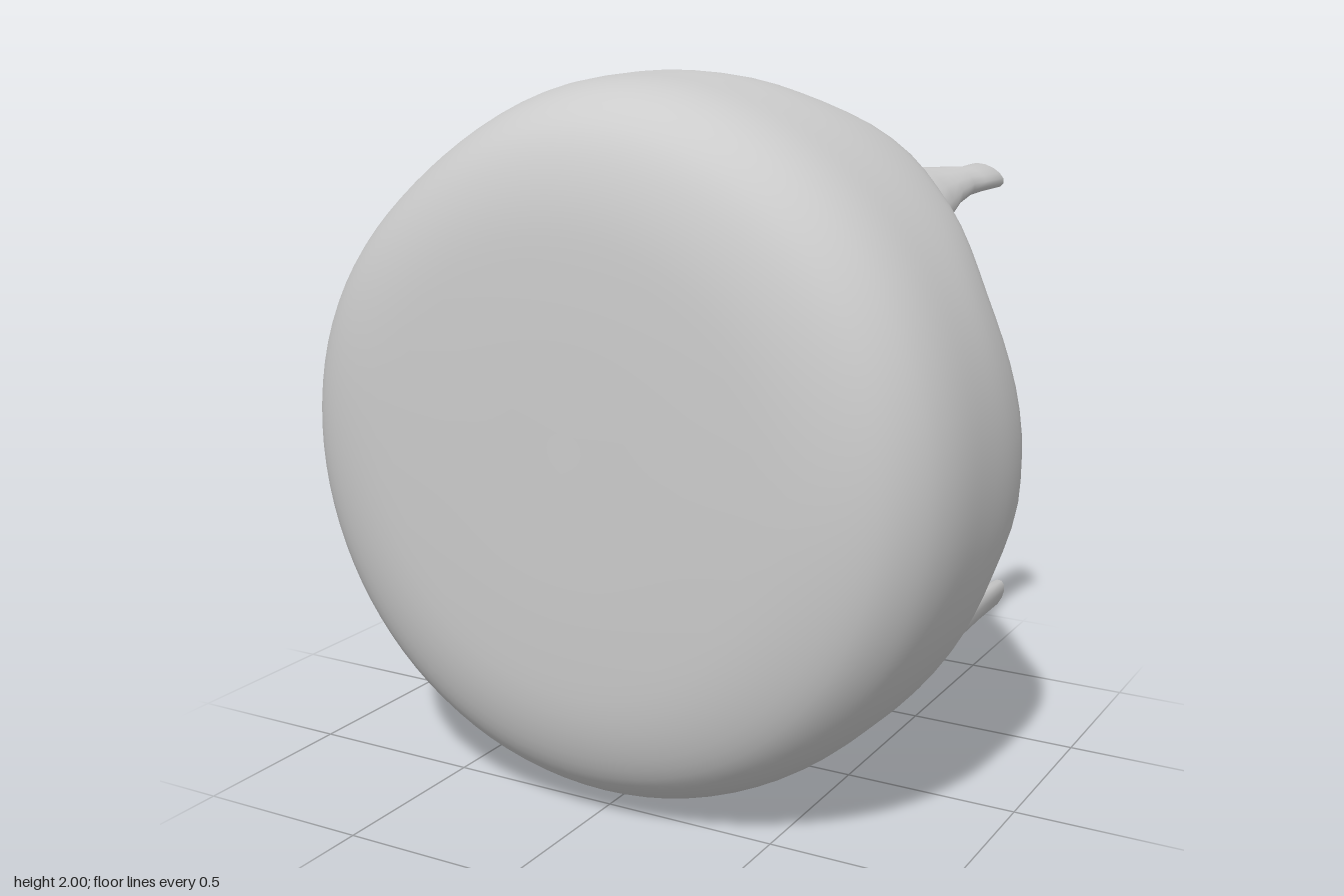
import * as THREE from 'three';

const grey = new THREE.MeshStandardMaterial({ color: 0xcccccc, side: THREE.DoubleSide });
const rad = THREE.MathUtils.degToRad;

// Skin a stack of closed rings; point(row, col) returns [x, y, z]
function skin(name, rows, cols, point) {
  const pos = [], idx = [];
  for (let j = 0; j < rows; j++)
    for (let i = 0; i < cols; i++) pos.push(...point(j, i));
  for (let j = 0; j < rows - 1; j++)
    for (let i = 0; i < cols; i++) {
      const k = (i + 1) % cols;
      const a = j * cols + i, b = (j + 1) * cols + i, c = (j + 1) * cols + k, d = j * cols + k;
      idx.push(a, b, c, a, c, d);
    }
  const g = new THREE.BufferGeometry();
  g.setAttribute('position', new THREE.Float32BufferAttribute(pos, 3));
  g.setIndex(idx);
  g.computeVertexNormals();
  const mesh = new THREE.Mesh(g, grey);
  mesh.name = name;
  return mesh;
}

// Depth of the rim crest around the shell: [degrees, z]; upper right side is cut low
const crestKeys = [
  [0, -0.18], [24, -0.14], [42, -0.21], [58, -0.22], [75, -0.17], [90, -0.11], [103, 0.02],
  [140, 0.07], [163, 0.1], [182, -0.06], [205, -0.17], [232, -0.23], [270, -0.25],
  [300, -0.23], [320, -0.18], [340, -0.14], [352, -0.19], [360, -0.18],
];
function crestAt(deg) {
  let k = 0;
  while (k < crestKeys.length - 2 && crestKeys[k + 1][0] <= deg) k++;
  const [d0, z0] = crestKeys[k], [d1, z1] = crestKeys[k + 1];
  return THREE.MathUtils.lerp(z0, z1, THREE.MathUtils.smoothstep(deg, d0, d1));
}

// Cross-section from the front centre, round the rim, into the hollow back
function profile(deg) {
  const c = crestAt(deg);
  const low = THREE.MathUtils.smoothstep(c, -0.12, 0.06);
  const mix = (a, b) => THREE.MathUtils.lerp(a, b, low);
  // the rim is thicker along the bottom
  const thick = 0.17 * Math.exp(-(((deg - 268) / 42) ** 2));
  return new THREE.CatmullRomCurve3([
    [0, 0.717], [0.45, 0.712], [0.7, 0.69], [0.85, 0.63], [0.93, 0.54], [0.97, 0.43],
    [0.985, mix(0.25, 0.34)], [0.985, c + 0.24], [0.96, c + 0.13], [mix(0.87, 0.9), c + 0.04],
    [mix(0.75, 0.82) - 0.3 * thick, c], [mix(0.63, 0.7) - 0.9 * thick, c + mix(0.06, 0.04)],
    [mix(0.58, 0.58) - thick, c + mix(0.16, 0.12)], [mix(0.59, 0.49) - thick, mix(0.17, 0.24)],
    [mix(0.5, 0.42) - 0.8 * thick, 0.28], [0.26, 0.23], [0, 0.16],
  ].map(([r, z]) => new THREE.Vector3(r, z, 0)), false, 'centripetal');
}

// Swellings of the rim under the legs: [x, y, height, radius]
const swells = [[0.47, 1.65, 0.14, 0.17], [0.66, 0.43, 0.06, 0.13], [-0.55, 0.37, 0.07, 0.15]];

function makeShell() {
  const cols = 96, rows = 71;
  const sections = [];
  for (let i = 0; i < cols; i++) sections.push(profile((i * 360) / cols).getPoints(rows - 1));
  return skin('hollowShell', rows, cols, (j, i) => {
    const deg = (i * 360) / cols, t = rad(deg);
    const p = sections[i][j];
    // slight flattening above the low cut
    const flat = 1 - 0.04 * Math.exp(-(((deg - 128) / 25) ** 2)) * THREE.MathUtils.smoothstep(p.x, 0.6, 0.95);
    const x = p.x * Math.cos(t) * flat, y = p.x * Math.sin(t) * flat * 1.013;
    // soft lumps on the floor of the hollow
    const inside = THREE.MathUtils.smoothstep(j / (rows - 1), 0.7, 0.84);
    const lump = 0.035 * Math.sin(7 * x + 1) * Math.cos(6 * y - 0.5) + 0.015 * Math.sin(11 * y + 5 * x);
    let z = p.y + inside * lump;
    const back = 1 - THREE.MathUtils.smoothstep(p.y, -0.12, 0.12);
    for (const [sx, sy, h, s] of swells)
      z -= back * h * Math.exp(-((x - sx) ** 2 + (y + 1 - sy) ** 2) / (s * s));
    return [x, y + 1, z];
  });
}

// Leg: elliptical rings [x, y, z, half width, half height], turned by deg
function makeLeg(name, deg, rings) {
  const t = rad(deg), cols = 14;
  const last = rings[rings.length - 1];
  const path = [...rings, [last[0], last[1], last[2], 0, 0]];
  return skin(name, path.length, cols, (j, i) => {
    const [x, y, z, w, h] = path[j], a = (i / cols) * Math.PI * 2;
    const u = w * Math.cos(a), v = h * Math.sin(a);
    return [x + u * Math.cos(t) - v * Math.sin(t), y + u * Math.sin(t) + v * Math.cos(t), z];
  });
}

export function createModel() {
  const group = new THREE.Group();
  group.name = 'hollowRoundSeat';
  group.add(makeShell());
  // Three short legs pointing back, each flaring into the rim
  group.add(makeLeg('upperLeg', -20, [
    [0.52, 1.62, -0.2, 0.14, 0.1], [0.54, 1.64, -0.29, 0.12, 0.08], [0.57, 1.66, -0.37, 0.085, 0.05],
    [0.6, 1.67, -0.44, 0.06, 0.04], [0.61, 1.67, -0.52, 0.055, 0.033], [0.625, 1.675, -0.61, 0.06, 0.03],
    [0.6, 1.67, -0.69, 0.02, 0.012],
  ]));
  group.add(makeLeg('lowerLeftLeg', 60, [
    [0.67, 0.42, -0.12, 0.1, 0.07], [0.68, 0.41, -0.22, 0.08, 0.055], [0.69, 0.4, -0.3, 0.066, 0.042],
    [0.69, 0.4, -0.45, 0.062, 0.038], [0.695, 0.395, -0.61, 0.058, 0.03], [0.695, 0.38, -0.65, 0.04, 0.015],
  ]));
  group.add(makeLeg('lowerRightLeg', -25, [
    [-0.55, 0.34, -0.2, 0.12, 0.1], [-0.555, 0.32, -0.28, 0.1, 0.075], [-0.56, 0.305, -0.34, 0.085, 0.058],
    [-0.56, 0.3, -0.42, 0.08, 0.05], [-0.55, 0.3, -0.55, 0.075, 0.045], [-0.535, 0.305, -0.67, 0.055, 0.045],
    [-0.53, 0.305, -0.72, 0.03, 0.04],
  ]));
  return group;
}
